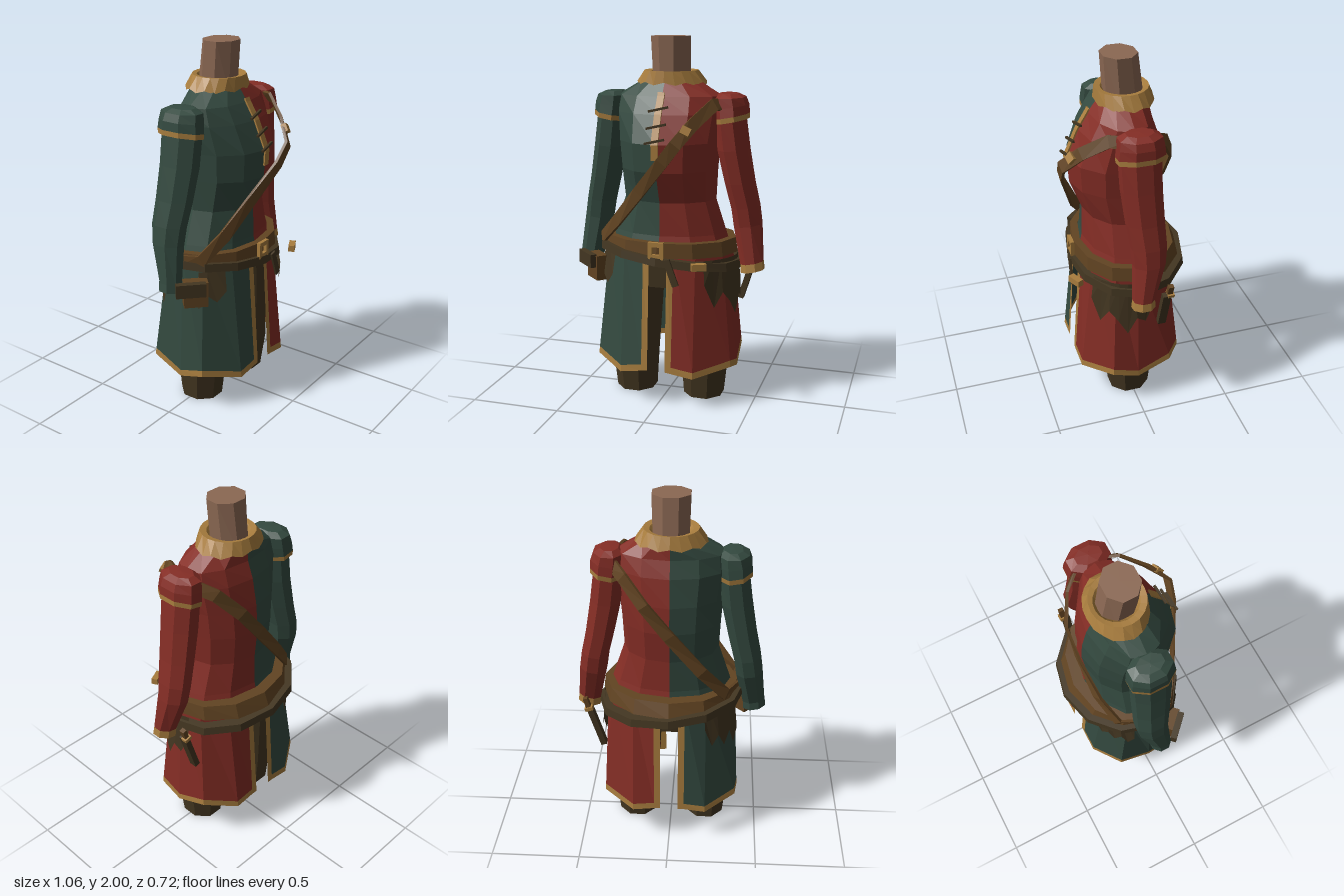
import * as THREE from 'three';

const mat = (name, color) => new THREE.MeshStandardMaterial({ name, color, flatShading: true, side: THREE.DoubleSide });
const V = (x, y, z) => new THREE.Vector3(x, y, z);
const rad = THREE.MathUtils.degToRad;

// Skin stretched over rings of points, listed from bottom to top
function loft(rings, closed = true) {
  const pos = [];
  const n = rings[0].length;
  const tri = (...ps) => ps.forEach(p => pos.push(p.x, p.y, p.z));
  for (let i = 0; i < rings.length - 1; i++) {
    for (let j = 0; j < (closed ? n : n - 1); j++) {
      const k = (j + 1) % n;
      const a = rings[i][j], b = rings[i][k], c = rings[i + 1][k], d = rings[i + 1][j];
      tri(a, d, c);
      tri(a, c, b);
    }
  }
  const g = new THREE.BufferGeometry();
  g.setAttribute('position', new THREE.Float32BufferAttribute(pos, 3));
  g.computeVertexNormals();
  return g;
}

// Horizontal oval ring
const oval = (cx, y, cz, rx, rz, n = 8, turn = Math.PI / 8) => Array.from({ length: n }, (_, i) => {
  const t = turn + i / n * Math.PI * 2;
  return V(cx + rx * Math.cos(t), y, cz + rz * Math.sin(t));
});

// Flat band along a path, facing the outward direction
function band(pts, width, thick, outward, closed) {
  const n = pts.length;
  const rings = pts.map((p, i) => {
    const prev = closed ? pts[(i + n - 1) % n] : pts[Math.max(i - 1, 0)];
    const next = closed ? pts[(i + 1) % n] : pts[Math.min(i + 1, n - 1)];
    const t = next.clone().sub(prev).normalize();
    const o = outward(p);
    o.addScaledVector(t, -o.dot(t)).normalize();
    const s = t.clone().cross(o);
    return [[1, 0], [1, 1], [-1, 1], [-1, 0]].map(([a, b]) =>
      p.clone().addScaledVector(s, a * width / 2).addScaledVector(o, b * thick));
  });
  if (closed) rings.push(rings[0]);
  return loft(rings);
}

export function createModel() {
  const model = new THREE.Group();
  model.name = 'coatFigure';
  const red = mat('red cloth', 0x842d25), teal = mat('teal cloth', 0x344a40);
  const gold = mat('gold trim', 0xa87d3e), brown = mat('brown leather', 0x624422);
  const dark = mat('dark cloth', 0x433621), skin = mat('skin', 0x8b6853);

  const add = (name, geo, material) => {
    const m = new THREE.Mesh(geo, material);
    m.name = name;
    model.add(m);
    return m;
  };
  const box = (name, material, size, at, rot = [0, 0, 0]) => {
    const m = add(name, new THREE.BoxGeometry(...size), material);
    m.position.set(...at);
    m.rotation.set(...rot);
    return m;
  };

  // Neck, leaning slightly forward, with its flat top
  add('neck', loft([
    oval(0, 1.74, -0.025, 0.1, 0.108), oval(0, 2, 0, 0.108, 0.098), oval(0, 2, 0, 0, 0),
  ]), skin);

  // Flared collar with a ragged lower edge, closed in to the neck
  const ragged = oval(0, 1.745, -0.025, 0.192, 0.157, 20, 0);
  ragged.forEach((p, i) => { if (i % 2) p.y += 0.015; });
  add('collar', loft([
    ragged, oval(0, 1.82, -0.015, 0.146, 0.142, 20, 0),
    oval(0, 1.815, -0.02, 0.114, 0.115, 20, 0), oval(0, 1.79, -0.022, 0.092, 0.096, 20, 0),
  ]), gold);

  // Torso rows: height, half width, front depth, back depth
  const torso = [
    [0.84, 0.355, 0.24, 0.245], [0.95, 0.32, 0.215, 0.22], [1.13, 0.26, 0.21, 0.215], [1.3, 0.268, 0.275, 0.23],
    [1.45, 0.28, 0.285, 0.22], [1.6, 0.3, 0.22, 0.19], [1.69, 0.29, 0.165, 0.155], [1.76, 0.17, 0.115, 0.15],
  ];
  // Skirt columns from front to back: top x, top z, hem x, hem z, hem y
  const skirt = [
    [0.05, 0.245, 0.05, 0.29, 0.205], [0.085, 0.24, 0.085, 0.29, 0.2], [0.2, 0.21, 0.205, 0.285, 0.18],
    [0.32, 0.11, 0.385, 0.145, 0.22], [0.355, 0, 0.39, 0, 0.18], [0.32, -0.12, 0.375, -0.19, 0.25],
    [0.2, -0.215, 0.205, -0.3, 0.195], [0.085, -0.25, 0.085, -0.3, 0.21], [0.05, -0.25, 0.05, -0.3, 0.21],
  ];
  // Sleeve rows: inner x, inner y, outer x, outer y, front z, back z
  const arm = [
    [0.405, 0.775, 0.525, 0.8, 0.06, -0.052], [0.36, 0.98, 0.505, 1.0, 0.05, -0.115],
    [0.345, 1.08, 0.49, 1.1, 0.058, -0.125], [0.31, 1.22, 0.462, 1.23, 0.075, -0.12],
    [0.27, 1.4, 0.432, 1.41, 0.092, -0.115], [0.255, 1.54, 0.41, 1.57, 0.097, -0.115],
  ];
  const cuff = [[0.465, 0.75, 0.475, 0.755, 0.008, 0.004], [0.408, 0.73, 0.532, 0.755, 0.066, -0.052], arm[0]];
  const stripe = [[0.257, 1.54, 0.425, 1.572, 0.11, -0.13], [0.252, 1.567, 0.424, 1.599, 0.111, -0.133]];
  const puff = [
    stripe[1], [0.245, 1.62, 0.42, 1.645, 0.105, -0.128], [0.245, 1.68, 0.405, 1.685, 0.1, -0.12],
    [0.275, 1.705, 0.37, 1.703, 0.06, -0.08], [0.32, 1.707, 0.325, 1.707, -0.01, -0.01],
  ];

  for (const s of [1, -1]) {
    const side = s > 0 ? 'left' : 'right';
    const cloth = s > 0 ? red : teal;
    const order = rings => (s > 0 ? rings : rings.map(r => [...r].reverse()));

    // Half of the coat body
    const rows = torso.map(([y, rx, zf, zb]) => [-90, -60, -30, 0, 30, 60, 90].map(d => {
      const t = rad(d);
      return V(s * rx * Math.cos(t), y, Math.sin(t) * (d > 0 ? zf : zb));
    }));
    add(side + 'CoatBody', loft(order(rows), false), cloth);

    // Coat skirt, with gold along the hem and both slits
    const at = ([tx, tz, bx, bz, by], h) => {
      const f = h / (0.88 - by);
      return V(s * (bx + (tx - bx) * f), by + h, bz + (tz - bz) * f);
    };
    const rise = (cols, h0, h1) => {
      const c = [...cols].reverse();
      return loft(order([c.map(k => at(k, h0)), c.map(k => at(k, h1 ?? 0.88 - k[4]))]), false);
    };
    add(side + 'Skirt', rise(skirt.slice(1, 8), 0.036), cloth);
    add(side + 'Hem', rise(skirt, 0, 0.036), gold);
    add(side + 'FrontSlitTrim', rise(skirt.slice(0, 2), 0.036), gold);
    add(side + 'BackSlitTrim', rise(skirt.slice(7), 0.036), gold);

    // Sleeve with shoulder puff, stripe and cuff
    const sleeve = list => loft(order(list.map(([xi, yi, xo, yo, zf, zb]) => Array.from({ length: 8 }, (_, i) => {
      const t = (i + 0.5) / 8 * Math.PI * 2;
      const c = Math.cos(t) / Math.cos(Math.PI / 8) / 2, d = Math.sin(t) / Math.cos(Math.PI / 8) / 2;
      return V(s * ((xi + xo) / 2 + c * (xo - xi)), (yi + yo) / 2 + c * (yo - yi), (zf + zb) / 2 + d * (zf - zb));
    }))));
    add(side + 'Sleeve', sleeve([...arm, stripe[0]]), cloth);
    add(side + 'ShoulderStripe', sleeve(stripe), gold);
    add(side + 'ShoulderPuff', sleeve(puff), cloth);
    add(side + 'Cuff', sleeve(cuff.slice(1)), s > 0 ? gold : teal);
    add(side + 'SleeveEnd', sleeve(cuff.slice(0, 2)), cloth);

    // Trouser leg
    add(side + 'Leg', loft([
      oval(s * 0.2, 0, 0.005, 0, 0), oval(s * 0.2, 0, 0.005, 0.115, 0.12), oval(s * 0.205, 0.2, 0.01, 0.132, 0.142),
      oval(s * 0.185, 0.65, 0, 0.14, 0.165), oval(s * 0.16, 0.85, 0, 0.14, 0.17),
    ]), dark);
  }
  add('hips', loft([oval(0, 0.64, 0, 0, 0), oval(0, 0.64, 0, 0.27, 0.16), oval(0, 0.86, 0, 0.28, 0.18)]), dark);

  // Ragged cloth hanging from the belt: side, start and end angle, lower edge heights
  const tatters = [
    [1, 50, -16, [0.7, 0.57, 0.65, 0.59, 0.51, 0.61, 0.58, 0.68]],
    [-1, 48, 22, [0.72, 0.66, 0.7, 0.62]],
    [-1, -20, -60, [0.66, 0.58, 0.68, 0.6, 0.68, 0.62, 0.73]],
  ];
  tatters.forEach(([s, a, b, low], k) => {
    const row = (rx, rz, y) => low.map((l, i) => {
      const t = rad(a + (b - a) * i / (low.length - 1));
      return V(s * rx * Math.cos(t), y ?? l, rz * Math.sin(t));
    });
    add('tatteredCloth' + (k + 1), loft([row(0.398, 0.305), row(0.38, 0.28, 0.83)], false), dark);
  });

  // Broad belt and the slanting belt below it; rows are half width, front, back, height offset
  const belt = (rows, height) => loft(rows.map(([rx, zf, zb, dy]) => Array.from({ length: 12 }, (_, i) => {
    const t = i / 12 * Math.PI * 2;
    const x = rx * Math.cos(t), z = Math.sin(t);
    return V(x, height(x) + dy, z * (z > 0 ? zf : zb));
  })));
  add('broadBelt', belt([
    [0.35, 0.24, 0.25, -0.04], [0.382, 0.272, 0.328, -0.04], [0.372, 0.268, 0.295, 0.04], [0.33, 0.225, 0.23, 0.04],
  ], () => 0.882), brown);
  add('slantingBelt', belt([
    [0.36, 0.255, 0.3, -0.022], [0.412, 0.298, 0.364, -0.022], [0.406, 0.293, 0.358, 0.022], [0.365, 0.255, 0.3, 0.022],
  ], x => 0.825 - 0.11 * x), dark);

  // Belt buckle frame
  const rect = (shape, w, h) => shape.moveTo(-w, -h).lineTo(w, -h).lineTo(w, h).lineTo(-w, h).closePath();
  const frame = new THREE.Shape();
  rect(frame, 0.042, 0.046);
  const hole = new THREE.Path();
  rect(hole, 0.02, 0.021);
  frame.holes.push(hole);
  add('beltBuckle', new THREE.ExtrudeGeometry(frame, { depth: 0.02, bevelEnabled: false }), gold).position.set(0, 0.885, 0.268);
  box('smallBuckle', gold, [0.08, 0.036, 0.035], [0.245, 0.825, 0.315], [0, 0.46, 0]);
  box('beltTail', dark, [0.036, 0.15, 0.012], [0.09, 0.775, 0.302], [0, 0, 0.35]);

  // Strap running round the chest and back, passing beneath the shoulder puff
  const strap = [
    [0.32, 1.64, 0], [0.27, 1.65, 0.13], [0.19, 1.56, 0.25], [0.12, 1.46, 0.335], [0.05, 1.37, 0.325],
    [-0.1, 1.19, 0.255], [-0.24, 1.02, 0.19], [-0.35, 0.9, 0.12], [-0.375, 0.88, 0], [-0.3, 0.92, -0.17],
    [-0.17, 1.08, -0.222], [0, 1.3, -0.24], [0.13, 1.47, -0.235], [0.24, 1.6, -0.165], [0.3, 1.64, -0.09],
  ].map(p => V(...p));
  add('shoulderStrap', band(strap, 0.066, 0.016, p => V(p.x * 0.6, Math.max(0, p.y - 1.55), p.z), true), brown);
  box('strapBuckle', gold, [0.05, 0.045, 0.03], [0.165, 1.53, 0.3], [-0.5, 0.4, -0.3]);

  // Front placket with three ties
  const placket = [[1.71, 0.158], [1.69, 0.168], [1.6, 0.223], [1.45, 0.288], [1.37, 0.284]].map(([y, z]) => V(-0.003, y, z));
  add('placket', band(placket, 0.038, 0.009, () => V(0, 0.1, 1), false), gold);
  [[1.63, 0.222], [1.545, 0.262], [1.47, 0.295]].forEach(([y, z], i) =>
    box('tie' + (i + 1), dark, [0.108, 0.012, 0.012], [-0.003, y, z], [0, 0.12, 0.22]));

  // Pouches on the right hip
  box('pouch', brown, [0.13, 0.14, 0.07], [-0.395, 0.73, 0.115], [0, -0.78, 0]);
  box('pouchFlap', dark, [0.16, 0.075, 0.036], [-0.45, 0.77, 0.128], [0, -0.78, 0]);

  // Sheathed dagger on the left hip
  box('daggerSheath', dark, [0.032, 0.25, 0.045], [0.415, 0.66, -0.13], [0, 0, -0.3]);
  box('daggerGuard', gold, [0.045, 0.02, 0.035], [0.453, 0.785, -0.15], [0, 0, -0.3]);
  box('daggerGrip', brown, [0.025, 0.06, 0.03], [0.464, 0.82, -0.145], [0, 0, -0.3]);

  return model;
}
